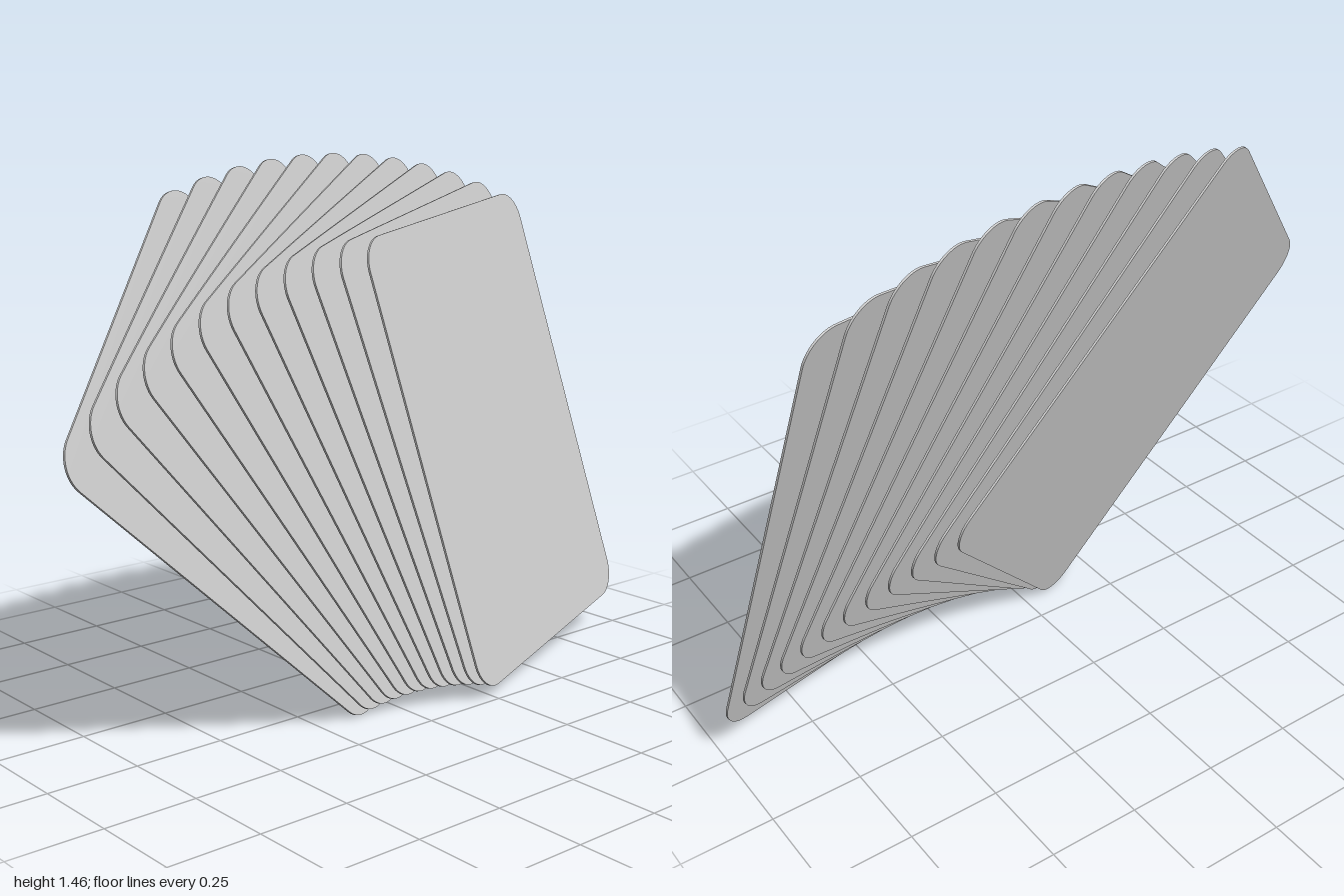
import * as THREE from 'three';
import { toCreasedNormals } from 'three/addons/utils/BufferGeometryUtils.js';

const COUNT = 12;
const WIDTH = 0.862, HEIGHT = 1.26, RADIUS = 0.085, THICKNESS = 0.006;
const SPREAD = THREE.MathUtils.degToRad(40.4); // whole opening of the fan
const GAP = 0.021; // distance between neighbouring cards
const PIVOT = new THREE.Vector2(-0.15, -0.307); // from the front card's lower left corner

// Rounded rectangle with its sharp lower left corner at (x, y)
function roundedRect(x, y, w, h, r) {
  const s = new THREE.Shape();
  s.absarc(x + w - r, y + r, r, -Math.PI / 2, 0);
  s.absarc(x + w - r, y + h - r, r, 0, Math.PI / 2);
  s.absarc(x + r, y + h - r, r, Math.PI / 2, Math.PI);
  s.absarc(x + r, y + r, r, Math.PI, Math.PI * 1.5);
  s.closePath();
  return s;
}

export function createModel() {
  const model = new THREE.Group();
  model.name = 'cardFan';
  const material = new THREE.MeshStandardMaterial({ color: 0xcccccc });

  // One card, drawn around the pivot of the fan
  const outline = roundedRect(-PIVOT.x, -PIVOT.y, WIDTH, HEIGHT, RADIUS);
  const extruded = new THREE.ExtrudeGeometry(outline, { depth: THICKNESS, bevelEnabled: false, curveSegments: 10 });
  extruded.translate(0, 0, -THICKNESS);
  const geometry = toCreasedNormals(extruded, 0.6);

  // Tilted frame in which the cards lie flat
  const n = new THREE.Vector3(0.27, 0.245, 0.931).normalize();
  const u = new THREE.Vector3(0.951, 0.104, -0.29);
  u.addScaledVector(n, -u.dot(n)).normalize();
  const v = new THREE.Vector3().crossVectors(n, u);
  const fan = new THREE.Group();
  fan.name = 'fan';
  fan.quaternion.setFromRotationMatrix(new THREE.Matrix4().makeBasis(u, v, n));
  fan.position.set(0.19, 0.025, 0.255);
  model.add(fan);

  // Cards turn about the pivot while stepping backwards
  for (let i = 0; i < COUNT; i++) {
    const card = new THREE.Mesh(geometry, material);
    card.name = `card${i + 1}`;
    card.position.set(PIVOT.x, PIVOT.y, -i * GAP);
    card.rotation.z = (i / (COUNT - 1)) * SPREAD;
    fan.add(card);
  }
  return model;
}
